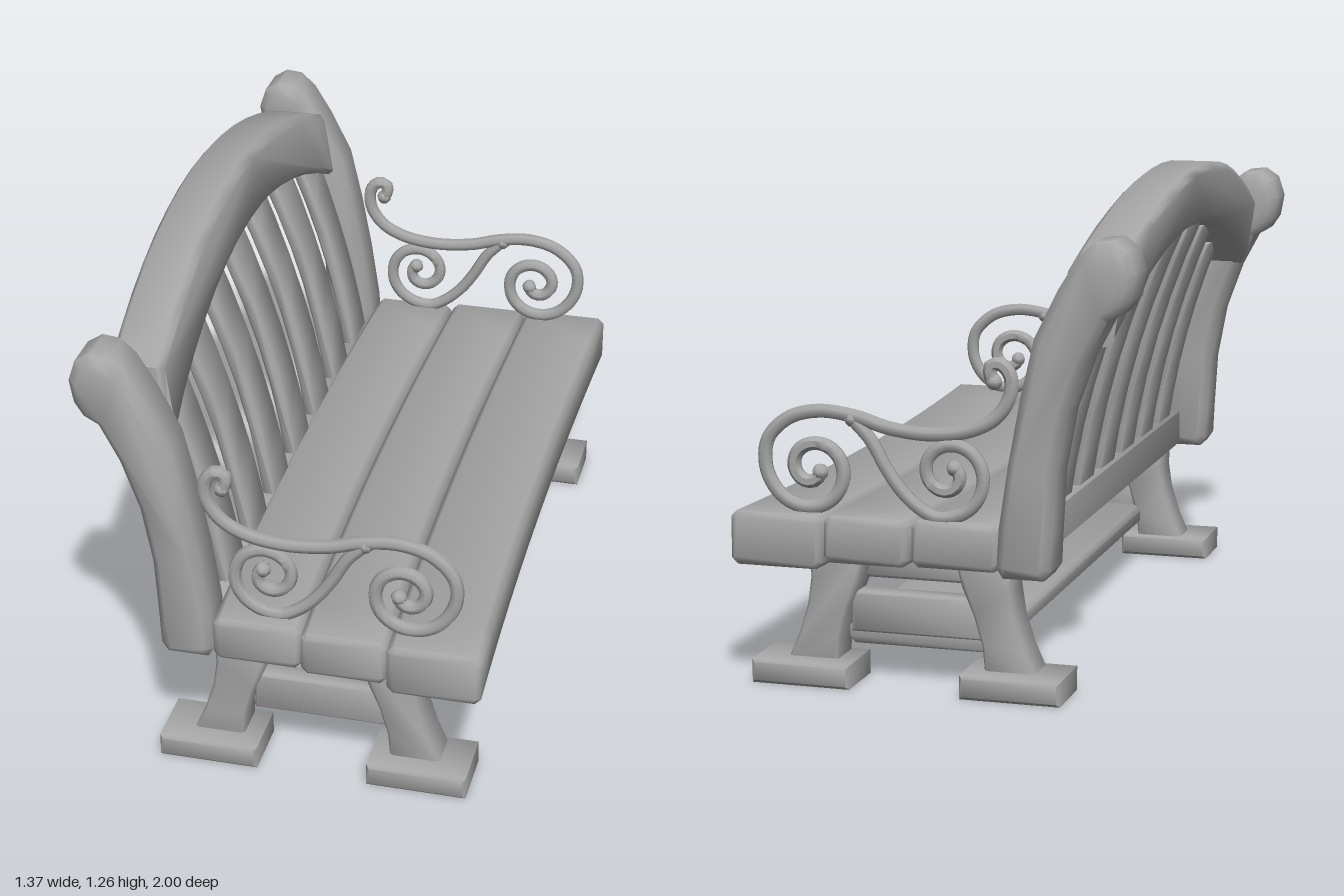
import * as THREE from 'three';
import { toCreasedNormals } from 'three/addons/utils/BufferGeometryUtils.js';

const wood = new THREE.MeshStandardMaterial({ color: 0xa6a6a6 });
wood.name = 'plain grey';

// Local frame: x = depth (sitter faces +x), z = length of the bench.
const shapeOf = (pts) => new THREE.Shape(pts.map(([x, y]) => new THREE.Vector2(x, y)));

// Bevelled extrusion of a profile, centred on z = 0
function slab(pts, width, bevel, steps = 1) {
  const g = new THREE.ExtrudeGeometry(shapeOf(pts), {
    depth: width - 2 * bevel, steps, bevelEnabled: true, bevelSegments: 1,
    bevelSize: bevel, bevelThickness: bevel, bevelOffset: -bevel,
  });
  g.translate(0, 0, -width / 2 + bevel);
  return g;
}

function reshape(g, rule) {
  const p = g.attributes.position;
  const v = new THREE.Vector3();
  for (let i = 0; i < p.count; i++) {
    v.fromBufferAttribute(p, i);
    rule(v);
    p.setXYZ(i, v.x, v.y, v.z);
  }
  return g;
}

const rect = (x0, x1, y0, y1) => [[x0, y0], [x1, y0], [x1, y1], [x0, y1]];

// Rectangle with its long edges chamfered
const softRect = (x0, x1, y0, y1, c) => [
  [x0 + c, y0], [x1 - c, y0], [x1, y0 + c], [x1, y1 - c],
  [x1 - c, y1], [x0 + c, y1], [x0, y1 - c], [x0, y0 + c],
];

export function createModel() {
  const model = new THREE.Group();
  const bench = new THREE.Group();
  bench.name = 'bench';
  bench.rotation.y = 0.188;
  model.add(bench);

  const add = (name, g, x = 0, y = 0, z = 0) => {
    const m = new THREE.Mesh(toCreasedNormals(g, 0.9), wood);
    m.name = name;
    m.position.set(x, y, z);
    bench.add(m);
    return m;
  };

  // Seat planks, bowed slightly back and sagging in the middle: x0, x1, y0, length, bow
  const planks = [
    [-0.175, 0.052, 0.34, 1.82, 0.032],
    [0.054, 0.274, 0.34, 1.85, 0.028],
    [0.276, 0.516, 0.322, 1.865, 0.022],
  ];
  for (const [x0, x1, y0, len, bow] of planks) {
    const g = slab(softRect(x0, x1, y0, 0.46, 0.016), len, 0.012, 12);
    reshape(g, (v) => {
      const mid = 1 - Math.pow(v.z / 0.94, 2);
      v.x -= bow * mid;
      v.y -= 0.013 * mid;
    });
    add('seatPlank', g);
  }
  // Strip of the rear plank that fits between the posts and carries the slats
  add('slatSill', slab(rect(-0.24, -0.15, 0.345, 0.44), 1.6, 0.01), 0, 0, -0.02);

  // Back posts with a swept profile and rolled top
  const postProfile = [
    [-0.3, 0.335], [-0.195, 0.335], [-0.18, 0.36], [-0.186, 0.46], [-0.21, 0.62], [-0.24, 0.78],
    [-0.275, 0.93], [-0.335, 1.05], [-0.385, 1.13], [-0.425, 1.165], [-0.47, 1.17], [-0.508, 1.145],
    [-0.526, 1.09], [-0.515, 1.03], [-0.492, 0.995], [-0.455, 0.975], [-0.405, 0.88], [-0.358, 0.75],
    [-0.33, 0.6], [-0.321, 0.45], [-0.317, 0.36],
  ];
  for (const s of [-1, 1]) {
    add('backPost', slab(postProfile, 0.147, 0.022), 0, 0, s * 0.862 - 0.02);
  }

  // Arched top rail
  const archTop = (z) => 1.265 - 0.28 * z * z;
  const archBottom = (z) => 1.1 - 0.32 * z * z;
  const arch = [];
  const n = 14;
  for (let i = 0; i <= n; i++) {
    const z = -0.8 + (1.6 * i) / n;
    arch.push([z, archBottom(z)]);
  }
  for (let i = n; i >= 0; i--) {
    const z = -0.8 + (1.6 * i) / n;
    arch.push([z, archTop(z)]);
  }
  const rail = slab(arch, 0.14, 0.016);
  rail.rotateY(-Math.PI / 2);
  reshape(rail, (v) => {
    const middle = (archTop(v.z) + archBottom(v.z)) / 2;
    v.x += -0.38 - 0.028 * (1 - Math.pow(v.z / 0.8, 2)) - 0.15 * (v.y - middle);
  });
  add('topRail', rail, 0, 0, -0.02);

  // Back slats leaning along a curve, narrower at the waist
  const lean = (y) => -0.206 - 0.15 * (y - 0.43) - 0.22 * Math.pow(y - 0.43, 2);
  for (let i = -3; i <= 3; i++) {
    const z = i * 0.222;
    const top = archBottom(z) + 0.02;
    const front = [];
    const back = [];
    for (let k = 0; k <= 6; k++) {
      const y = 0.41 + ((top - 0.41) * k) / 6;
      front.push([lean(y) + 0.017, y]);
      back.unshift([lean(y) - 0.017, y]);
    }
    const g = slab([...front, ...back], 0.148, 0.005);
    reshape(g, (v) => { v.z *= 1 - 0.12 * Math.sin(((v.y - 0.41) / (top - 0.41)) * Math.PI); });
    add('backSlat', g, 0, 0, z - 0.03);
  }

  // Splayed legs on flat feet
  const legProfile = [
    [0.265, 0.04], [0.405, 0.04], [0.37, 0.12], [0.345, 0.2], [0.335, 0.27], [0.34, 0.35],
    [0.185, 0.35], [0.205, 0.27], [0.235, 0.2], [0.258, 0.12],
  ];
  for (const s of [-1, 1]) {
    const z = s * 0.795 + 0.012;
    const centre = 0.077 - s * 0.007;
    for (const f of [-1, 1]) {
      const pts = legProfile.map(([x, y]) => [f * (x - 0.07), y]);
      const name = f > 0 ? 'front' : 'rear';
      add(name + 'Leg', slab(f > 0 ? pts : pts.reverse(), 0.105, 0.008), centre, 0, z - s * 0.025);
      add(name + 'Foot', slab(rect(-0.13, 0.13, 0, 0.062), 0.178, 0.008), centre + f * 0.275, 0, z);
    }
    // Stretcher joining the front and rear leg
    add('sideStretcher', slab(rect(-0.1, 0.25, 0.13, 0.235), 0.06, 0.006), 0, 0, z - s * 0.03);
  }
  // Long boards running between the two leg frames
  add('lowerShelf', slab(softRect(-0.13, 0.27, 0.09, 0.15, 0.016), 1.5, 0.006));
  add('underSeatBoard', slab(rect(-0.11, 0.25, 0.265, 0.345), 1.5, 0.008));

  // Wrought scroll armrests
  const tube = (pts, r, seg) => new THREE.TubeGeometry(
    new THREE.CatmullRomCurve3(pts.map(([x, y]) => new THREE.Vector3(x, y, 0))), seg, r, 7, false);
  const spiral = (cx, cy, r0, r1, a0, a1, count) => Array.from({ length: count + 1 }, (_, i) => {
    const t = i / count;
    const r = r0 + (r1 - r0) * Math.pow(t, 0.8);
    const a = a0 + (a1 - a0) * t;
    return [cx + r * Math.cos(a), cy + r * Math.sin(a)];
  });
  const armPath = [
    [-0.16, 0.81], [-0.15, 0.83], [-0.155, 0.852], [-0.18, 0.853], [-0.202, 0.825], [-0.2, 0.775],
    [-0.165, 0.722], [-0.1, 0.687], [0, 0.672], [0.11, 0.682], [0.2, 0.707], [0.29, 0.716],
    [0.37, 0.695], [0.426, 0.64], ...spiral(0.31, 0.57, 0.125, 0.022, 0.05, -9.0, 20),
  ];
  const scrollPath = [
    [0.205, 0.7], [0.158, 0.65], [0.117, 0.58], [0.077, 0.525], [0.032, 0.485],
    ...spiral(-0.043, 0.575, 0.115, 0.022, -1.3, -10.2, 20),
  ];
  for (const s of [-1, 1]) {
    const z = s * 0.868 - 0.016;
    add('armrest', tube(armPath, 0.018, 110), 0, 0, z);
    add('armrestScroll', tube(scrollPath, 0.017, 90), 0, 0, z);
    // Rounded tube ends
    for (const path of [armPath, scrollPath]) {
      for (const [x, y] of [path[0], path[path.length - 1]]) {
        add('armrestTip', new THREE.SphereGeometry(0.021, 8, 6), x, y, z);
      }
    }
  }
  return model;
}
